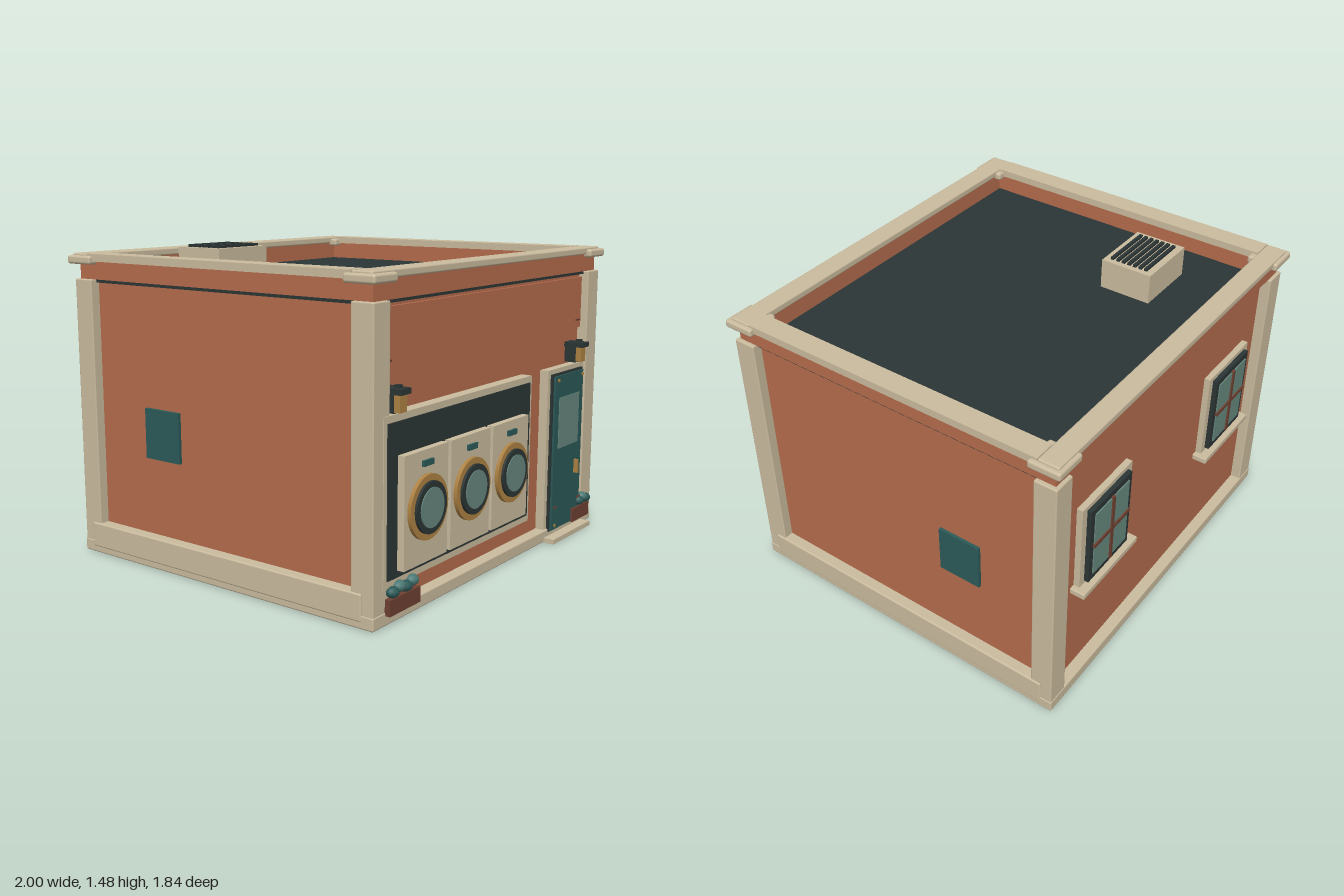
import * as THREE from 'three';
import { RoundedBoxGeometry } from 'three/addons/geometries/RoundedBoxGeometry.js';

const mat = (name, color) => new THREE.MeshStandardMaterial({ name, color });

export function createModel() {
  const brick = mat('brick', 0xb56c4d);
  const cream = mat('cream', 0xcabb9e);
  const dark = mat('charcoal', 0x2c3535);
  const teal = mat('teal', 0x2b5a58);
  const glass = mat('glass', 0x66877d);
  const gold = mat('brass', 0xae8243);
  const brown = mat('brown', 0x6f4031);
  const leaf = mat('leaf', 0x4a7773);

  const model = new THREE.Group();
  model.name = 'laundryShop';

  const group = (name) => {
    const g = new THREE.Group();
    g.name = name;
    model.add(g);
    return g;
  };
  // box given by its min and max on each axis; bevel softens the edges
  const box = (parent, name, material, [x0, x1], [y0, y1], [z0, z1], bevel = 0) => {
    const size = [x1 - x0, y1 - y0, z1 - z0];
    const geo = bevel ? new RoundedBoxGeometry(...size, 2, bevel) : new THREE.BoxGeometry(...size);
    const m = new THREE.Mesh(geo, material);
    m.position.set((x0 + x1) / 2, (y0 + y1) / 2, (z0 + z1) / 2);
    m.name = name;
    parent.add(m);
    return m;
  };
  // disc facing the front
  const disc = (parent, name, material, r, x, y, z0, z1, sides = 32) => {
    const m = new THREE.Mesh(new THREE.CylinderGeometry(r, r, z1 - z0, sides), material);
    m.rotation.x = Math.PI / 2;
    m.position.set(x, y, (z0 + z1) / 2);
    m.name = name;
    parent.add(m);
  };
  // rectangular ring of four bars, seen from above
  const ring = (parent, name, material, X, Z, ix, [iz0, iz1], Y, bevel) => {
    box(parent, name + 'Front', material, [-X, X], Y, [iz1, Z[1]], bevel);
    box(parent, name + 'Back', material, [-X, X], Y, [Z[0], iz0], bevel);
    box(parent, name + 'Left', material, [ix, X], Y, [iz0, iz1], 0);
    box(parent, name + 'Right', material, [-X, -ix], Y, [iz0, iz1], 0);
  };

  // Shell: base, walls, roof, parapet and cornice
  const shell = group('shell');
  box(shell, 'base', cream, [-0.98, 0.98], [0, 0.06], [-0.895, 0.845], 0.008);
  box(shell, 'walls', brick, [-0.93, 0.93], [0.05, 1.31], [-0.84, 0.79]);
  box(shell, 'roof', dark, [-0.945, 0.945], [1.31, 1.325], [-0.86, 0.812]);
  ring(shell, 'parapet', brick, 0.957, [-0.875, 0.825], 0.885, [-0.81, 0.74], [1.325, 1.412]);
  ring(shell, 'cornice', cream, 0.98, [-0.9, 0.838], 0.875, [-0.8, 0.733], [1.41, 1.445], 0.008);
  box(shell, 'signBoard', brick, [-0.87, 0.87], [1.04, 1.295], [0.78, 0.805]);
  for (const s of [-1, 1]) {
    const span = (a, b) => (s > 0 ? [a, b] : [-b, -a]);
    box(shell, 'signPeg', brown, span(0.81, 0.85), [1.075, 1.083], [0.8, 0.81]);
    box(shell, 'sidePlinth', cream, span(0.92, 0.984), [0.03, 0.15], [-0.835, 0.785], 0.008);
    box(shell, 'sideHatch', teal, span(0.92, 0.945), [0.515, 0.75], [-0.48, -0.265]);
    for (const z of [[0.73, 0.842], [-0.892, -0.782]])
      box(shell, 'cornerPilaster', cream, span(0.865, 0.977), [0.055, 1.325], z, 0.006);
    for (const z of [[0.705, 0.862], [-0.918, -0.763]])
      box(shell, 'corniceCorner', cream, span(0.84, 1), [1.395, 1.435], z, 0.012);
  }

  // Roof vent with slats
  const vent = group('roofVent');
  box(vent, 'ventBox', cream, [-0.675, -0.35], [1.32, 1.472], [-0.51, -0.25]);
  for (let i = 0; i < 7; i++) {
    const z = -0.468 + i * 0.03;
    box(vent, 'ventSlat', dark, [-0.645, -0.378], [1.465, 1.484], [z - 0.008, z + 0.008]);
  }

  // Shop window with three washing machines
  const shop = group('shopWindow');
  box(shop, 'windowFrame', cream, [-0.912, 0.288], [0.158, 0.87], [0.78, 0.846]);
  box(shop, 'windowBack', dark, [-0.89, 0.265], [0.19, 0.84], [0.84, 0.852]);
  for (const x of [-0.663, -0.315, 0.031]) {
    const washer = group('washer');
    box(washer, 'washerBody', cream, [x - 0.161, x + 0.161], [0.22, 0.702], [0.845, 0.885]);
    box(washer, 'washerDisplay', teal, [x - 0.036, x + 0.036], [0.635, 0.66], [0.88, 0.897]);
    disc(washer, 'doorRing', gold, 0.14, x, 0.46, 0.88, 0.902);
    disc(washer, 'doorSeal', dark, 0.112, x, 0.46, 0.895, 0.914);
    disc(washer, 'doorGlass', glass, 0.086, x, 0.46, 0.91, 0.918);
  }

  // Entrance door and step
  const door = group('door');
  box(door, 'doorStep', cream, [0.46, 0.865], [0, 0.024], [0.8, 0.9]);
  box(door, 'doorSurround', cream, [0.475, 0.852], [0.05, 0.865], [0.78, 0.835]);
  box(door, 'doorFrame', dark, [0.502, 0.822], [0.045, 0.842], [0.82, 0.848]);
  box(door, 'doorLeaf', teal, [0.513, 0.811], [0.05, 0.832], [0.84, 0.858]);
  box(door, 'doorPane', glass, [0.555, 0.767], [0.465, 0.722], [0.855, 0.862]);
  box(door, 'doorHandle', gold, [0.738, 0.752], [0.305, 0.375], [0.855, 0.88]);
  for (const x of [0.545, 0.8]) {
    for (const y of [0.07, 0.81]) disc(door, 'doorBolt', gold, 0.009, x, y, 0.855, 0.863, 10);
    box(door, 'doorHinge', brown, [x - 0.02, x + 0.02], [0.16, 0.168], [0.855, 0.862]);
  }

  // Wall lanterns
  for (const x of [-0.825, 0.76]) {
    const lamp = group('lantern');
    box(lamp, 'lanternBack', dark, [x - 0.028, x + 0.028], [0.875, 0.96], [0.785, 0.85]);
    box(lamp, 'lanternBody', gold, [x - 0.025, x + 0.025], [0.88, 0.957], [0.84, 0.878]);
    box(lamp, 'lanternCap', dark, [x - 0.036, x + 0.036], [0.953, 0.977], [0.785, 0.89]);
    box(lamp, 'lanternKnob', dark, [x - 0.012, x + 0.012], [0.97, 0.99], [0.84, 0.865]);
  }

  // Planters with faceted shrubs
  const shrubGeo = new THREE.IcosahedronGeometry(1, 1);
  for (const [x0, x1, first, count] of [[-0.895, -0.675, -0.86, 4], [0.725, 0.91, 0.815, 3]]) {
    const planter = group('planter');
    box(planter, 'planterBox', brown, [x0, x1], [0.045, 0.115], [0.79, 0.868]);
    for (let i = 0; i < count; i++) {
      const shrub = new THREE.Mesh(shrubGeo, i % 2 ? leaf : teal);
      shrub.name = 'shrub';
      shrub.scale.set(0.032, 0.025, 0.03);
      shrub.position.set(first + i * (count > 3 ? 0.047 : 0.036), i % 2 ? 0.153 : 0.14, 0.855);
      planter.add(shrub);
    }
  }

  // Rear windows: frame, sash, four panes, glazing bars and sill
  for (const x of [-0.5475, 0.5475]) {
    const win = group('rearWindow');
    box(win, 'rearFrame', cream, [x - 0.195, x + 0.195], [0.57, 1.03], [-0.87, -0.83]);
    box(win, 'rearSash', dark, [x - 0.16, x + 0.16], [0.598, 1.008], [-0.892, -0.86]);
    for (const sx of [-1, 1]) for (const sy of [-1, 1]) {
      const px = x + sx * 0.07, py = 0.805 + sy * 0.09;
      box(win, 'rearPane', glass, [px - 0.063, px + 0.063], [py - 0.083, py + 0.083], [-0.898, -0.89]);
    }
    box(win, 'uprightBar', brown, [x - 0.009, x + 0.009], [0.625, 0.985], [-0.905, -0.88]);
    box(win, 'crossBar', brown, [x - 0.14, x + 0.14], [0.796, 0.814], [-0.905, -0.88]);
    box(win, 'rearSill', cream, [x - 0.222, x + 0.222], [0.55, 0.582], [-0.912, -0.83], 0.006);
  }

  return model;
}
